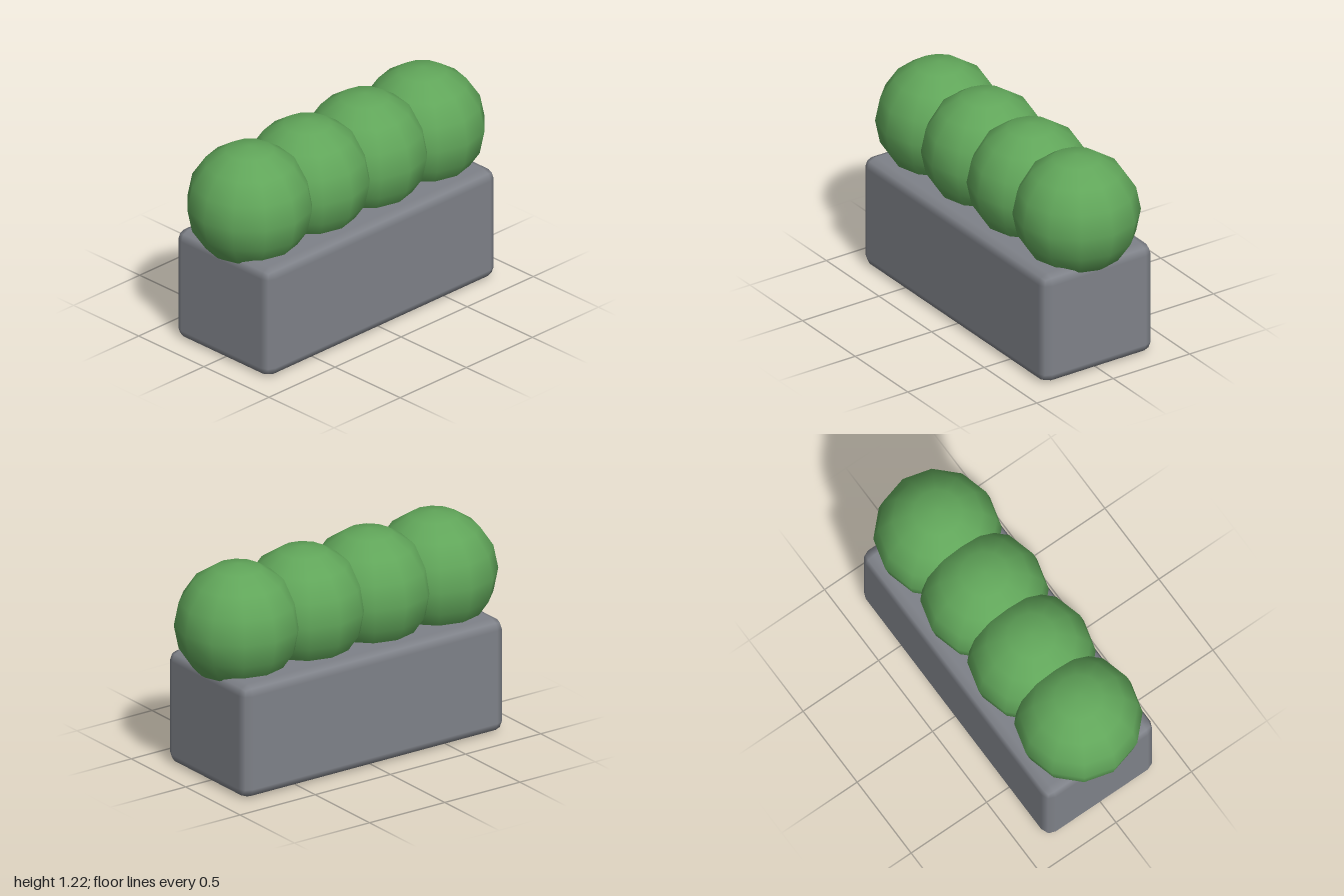
import * as THREE from 'three';
import { RoundedBoxGeometry } from 'three/addons/geometries/RoundedBoxGeometry.js';

const stone = new THREE.MeshStandardMaterial({ color: 0x7f8289 });
stone.name = 'stone grey';
const leaf = new THREE.MeshStandardMaterial({ color: 0x61a65a });
leaf.name = 'leaf green';

export function createModel() {
  const group = new THREE.Group();
  group.name = 'hedgePlanter';

  // Planter block with softly chamfered edges
  const height = 0.653;
  const planter = new THREE.Mesh(new RoundedBoxGeometry(1.739, height, 0.724, 1, 0.057), stone);
  planter.name = 'planter';
  planter.position.y = height / 2;
  group.add(planter);

  // Row of four overlapping round bushes
  const bushGeometry = new THREE.SphereGeometry(0.348, 12, 8);
  for (let i = 0; i < 4; i++) {
    const bush = new THREE.Mesh(bushGeometry, leaf);
    bush.name = `bush${i + 1}`;
    bush.position.set((i - 1.5) * 0.4348, 0.87, 0);
    group.add(bush);
  }
  return group;
}
